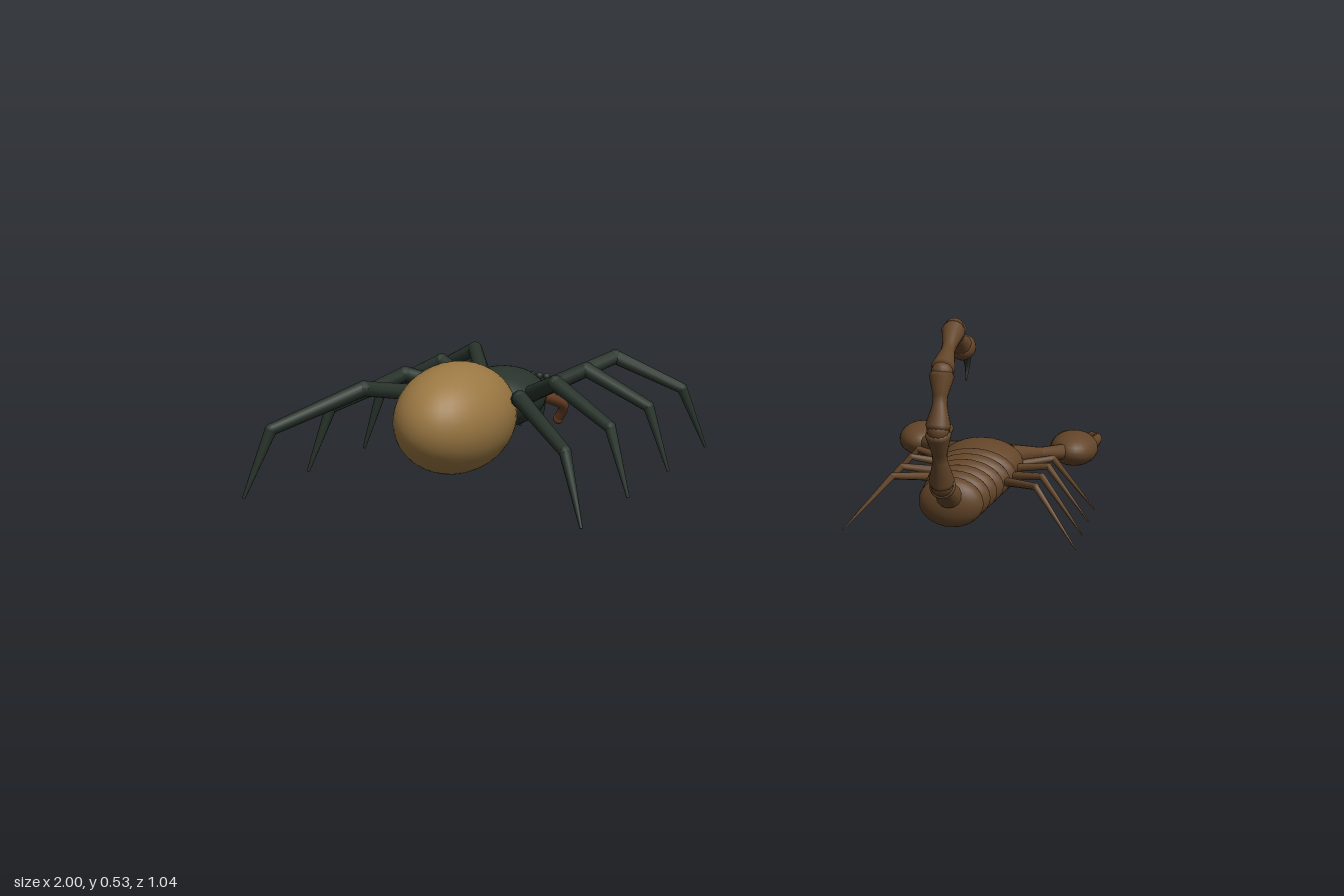
import * as THREE from 'three';

const mat = (name, color) => {
  const m = new THREE.MeshStandardMaterial({ color });
  m.name = name;
  return m;
};
const V = (a) => new THREE.Vector3(...a);
const UP = new THREE.Vector3(0, 1, 0);

function add(parent, name, geometry, material) {
  const m = new THREE.Mesh(geometry, material);
  m.name = name;
  parent.add(m);
  return m;
}

function ellipsoid(parent, name, pos, radii, material, w = 28, h = 18) {
  const m = add(parent, name, new THREE.SphereGeometry(1, w, h), material);
  m.position.set(...pos);
  m.scale.set(...radii);
  return m;
}

// Places a y-aligned centred mesh between two points
function span(mesh, a, b) {
  mesh.position.copy(a).add(b).multiplyScalar(0.5);
  mesh.quaternion.setFromUnitVectors(UP, b.clone().sub(a).normalize());
  return mesh;
}

// Chain of tapered segments with rounded joints
function limb(parent, name, points, radii, material, sides = 10) {
  const g = new THREE.Group();
  g.name = name;
  parent.add(g);
  const p = points.map(V);
  for (let i = 0; i < p.length - 1; i++) {
    const len = p[i].distanceTo(p[i + 1]);
    span(add(g, 'segment', new THREE.CylinderGeometry(radii[i + 1], radii[i], len, sides), material), p[i], p[i + 1]);
    if (i > 0) ellipsoid(g, 'joint', points[i], Array(3).fill(radii[i] * 1.03), material, sides, 8);
  }
  return g;
}

// Curved tube that narrows from r0 to r1
function horn(parent, name, points, r0, r1, material) {
  const n = 14, sides = 8;
  const curve = new THREE.CatmullRomCurve3(points.map(V));
  const geo = new THREE.TubeGeometry(curve, n, 1, sides, false);
  const pos = geo.attributes.position, v = new THREE.Vector3();
  for (let i = 0; i < pos.count; i++) {
    const t = Math.floor(i / (sides + 1)) / n;
    const c = curve.getPointAt(t);
    v.fromBufferAttribute(pos, i).sub(c).multiplyScalar(r0 + (r1 - r0) * t).add(c);
    pos.setXYZ(i, v.x, v.y, v.z);
  }
  geo.computeVertexNormals();
  return add(parent, name, geo, material);
}

function makeSpider(black, gold, russet) {
  const g = new THREE.Group();
  g.name = 'spider';
  ellipsoid(g, 'abdomen', [0, 0.195, 0.167], [0.142, 0.14, 0.202], gold, 36, 24);
  ellipsoid(g, 'headThorax', [0, 0.199, -0.11], [0.116, 0.08, 0.14], black);

  // Row of eyes over the front edge
  for (let i = 0; i < 8; i++) {
    const x = (i - 3.5) * 0.024;
    ellipsoid(g, 'eye', [x, 0.238, -0.235 + x * x * 2], [0.01, 0.01, 0.01], black, 10, 8);
  }

  // Root z, knee z, ankle z and tip z for each leg pair
  const legs = [
    [-0.17, -0.403, -0.453, -0.485],
    [-0.14, -0.188, -0.178, -0.17],
    [-0.1, 0.024, 0.104, 0.133],
    [-0.06, 0.248, 0.398, 0.444],
  ];
  for (const s of [-1, 1]) {
    for (const [root, knee, ankle, tip] of legs) {
      limb(g, 'leg', [[s * 0.07, 0.203, root], [s * 0.212, 0.27, knee], [s * 0.39, 0.183, ankle], [s * 0.447, 0.015, tip]],
        [0.023, 0.02, 0.015, 0.004], black);
    }
    // Fang base and fang
    limb(g, 'jaw', [[s * 0.035, 0.2, -0.21], [s * 0.037, 0.165, -0.285], [s * 0.03, 0.08, -0.3]], [0.02, 0.017, 0.003], black);
    horn(g, 'feeler', [[s * 0.055, 0.195, -0.2], [s * 0.083, 0.17, -0.26], [s * 0.093, 0.14, -0.315], [s * 0.068, 0.1, -0.335]], 0.018, 0.013, russet);
    ellipsoid(g, 'feelerTip', [s * 0.068, 0.1, -0.335], [0.014, 0.016, 0.014], russet, 12, 8);
  }
  return g;
}

function makeScorpion(brown, black) {
  const g = new THREE.Group();
  g.name = 'scorpion';
  ellipsoid(g, 'carapace', [0, 0.114, -0.105], [0.1, 0.059, 0.098], brown);

  // Ringed back
  for (let i = 0; i < 6; i++) {
    ellipsoid(g, 'backRing', [0, 0.113, 0.01 + i * 0.06], [0.1 - i * 0.0055, 0.059 - i * 0.0004, 0.037], brown, 28, 14);
  }

  // Tail of waisted segments arching over the back
  const tail = [[0, 0.13, 0.33], [0, 0.178, 0.428], [0, 0.31, 0.492], [0, 0.432, 0.463], [0, 0.506, 0.33], [0, 0.455, 0.24]].map(V);
  for (let i = 0; i < 5; i++) {
    const h = tail[i].distanceTo(tail[i + 1]) / 2, r = 0.029 - i * 0.001;
    const profile = [[0, -h], [r * 0.85, -h], [r, -h * 0.82], [r * 0.58, -h * 0.1], [r * 0.6, h * 0.2], [r, h * 0.85], [r * 0.85, h], [0, h]];
    const geo = new THREE.LatheGeometry(profile.map(([x, y]) => new THREE.Vector2(x, y)), 14);
    span(add(g, 'tailSegment', geo, brown), tail[i], tail[i + 1]);
    if (i > 0) ellipsoid(g, 'tailJoint', tail[i].toArray(), [r * 0.9, r * 0.9, r * 0.9], brown, 14, 10);
  }
  ellipsoid(g, 'venomBulb', [0, 0.446, 0.213], [0.029, 0.029, 0.046], brown, 20, 14);
  horn(g, 'stinger', [[0, 0.44, 0.185], [0, 0.418, 0.16], [0, 0.39, 0.147], [0, 0.36, 0.157]], 0.015, 0.001, black);

  // Root z, knee z and tip z for each leg pair
  const legs = [[-0.11, -0.152, -0.165], [-0.08, -0.062, -0.039], [0.0, 0.05, 0.09], [0.06, 0.155, 0.221]];
  for (const s of [-1, 1]) {
    for (const [root, knee, tip] of legs) {
      limb(g, 'leg', [[s * 0.07, 0.11, root], [s * 0.165, 0.125, knee], [s * 0.267, 0.003, tip]], [0.011, 0.008, 0.0015], brown, 8);
    }
    // Pincer arm, palm and two curved fingers
    limb(g, 'pincerArm', [[s * 0.06, 0.125, -0.16], [s * 0.125, 0.12, -0.225], [s * 0.185, 0.113, -0.3]], [0.027, 0.015, 0.021], brown, 12);
    ellipsoid(g, 'pincerPalm', [s * 0.193, 0.113, -0.347], [0.059, 0.043, 0.084], brown);
    for (const f of [-1, 1]) {
      const x = s * 0.193;
      horn(g, 'pincerFinger', [[x + f * 0.033, 0.113, -0.4], [x + f * 0.042, 0.113, -0.45], [x + f * 0.041, 0.113, -0.495], [x + f * 0.026, 0.113, -0.515]], 0.018, 0.01, brown);
      ellipsoid(g, 'fingerTip', [x + f * 0.026, 0.113, -0.515], [0.01, 0.01, 0.01], brown, 8, 6);
    }
  }
  return g;
}

export function createModel() {
  const black = mat('dark green black', 0x28332b);
  const gold = mat('golden tan', 0x9b7843);
  const brown = mat('earth brown', 0x634529);
  const russet = mat('reddish brown', 0x693f25);
  const model = new THREE.Group();
  model.name = 'spiderAndScorpion';
  const spider = makeSpider(black, gold, russet);
  spider.position.x = -0.55;
  const scorpion = makeScorpion(brown, black);
  scorpion.position.x = 0.728;
  model.add(spider, scorpion);
  return model;
}
